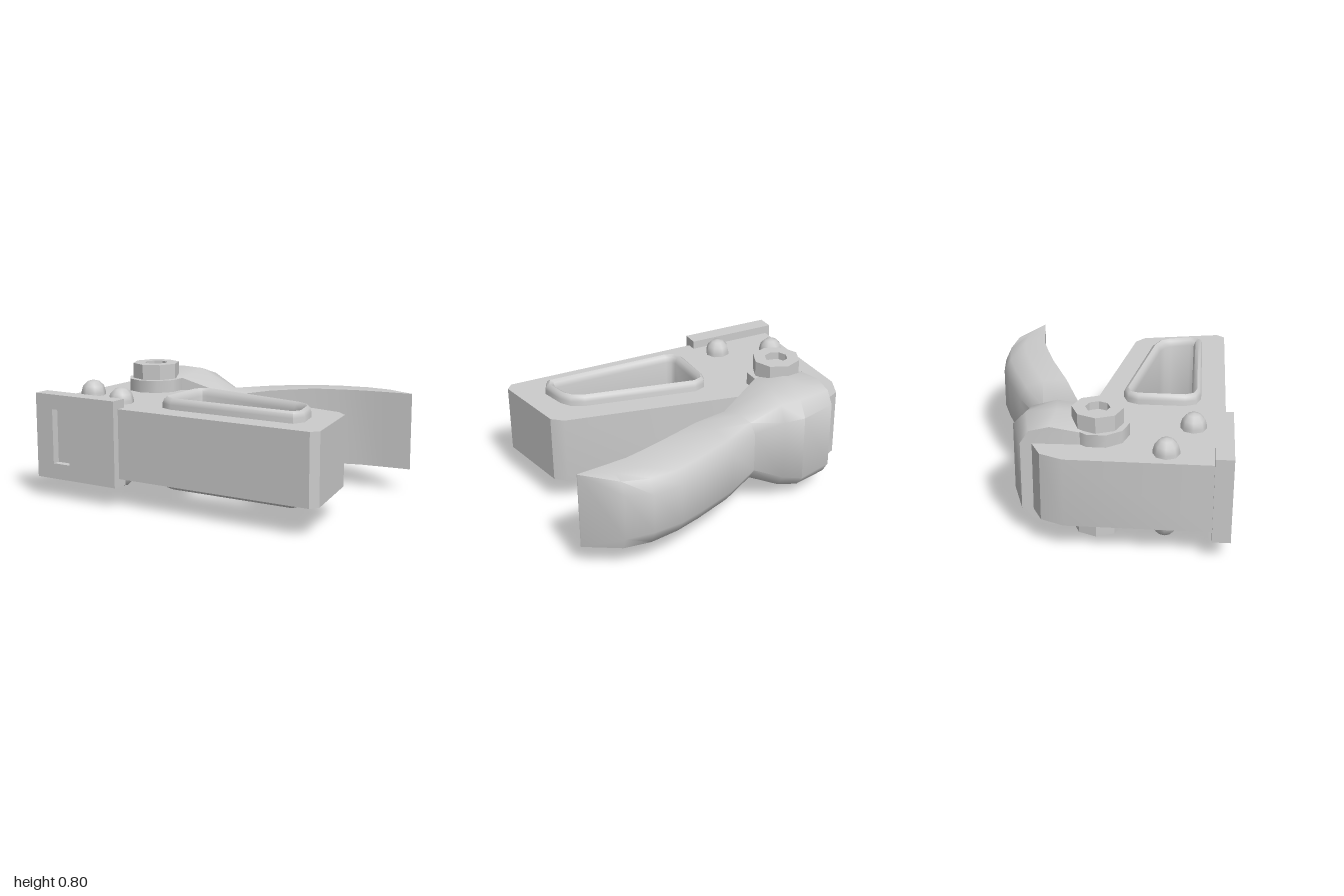
import * as THREE from 'three';
import { toCreasedNormals } from 'three/addons/utils/BufferGeometryUtils.js';

const MID = 0.4; // height of the symmetry plane
const material = new THREE.MeshStandardMaterial({ color: 0xcccccc });

function part(name, geometry, crease = 0.6) {
  const mesh = new THREE.Mesh(toCreasedNormals(geometry, crease), material);
  mesh.name = name;
  return mesh;
}

// Skin a row of rings, each an array of [x, y, z]
function loft(rings, closed) {
  const n = rings[0].length, m = rings.length, index = [];
  for (let i = 0; i < (closed ? m : m - 1); i++) {
    for (let j = 0; j < n; j++) {
      const k = (j + 1) % n, next = (i + 1) % m;
      const a = i * n + j, b = next * n + j, c = next * n + k, d = i * n + k;
      index.push(a, b, d, b, c, d);
    }
  }
  if (!closed) {
    const e = (m - 1) * n;
    for (let j = 1; j < n - 1; j++) index.push(0, j, j + 1, e, e + j + 1, e + j);
  }
  const g = new THREE.BufferGeometry();
  g.setAttribute('position', new THREE.Float32BufferAttribute(rings.flat(2), 3));
  g.setIndex(index);
  g.computeVertexNormals();
  return g;
}

const lerp = THREE.MathUtils.lerp;
const flat = (pts) => pts.map(([x, z]) => new THREE.Vector2(x, -z));

export function createModel() {
  const model = new THREE.Group();
  model.name = 'stapleGun';

  // Finger opening, outer and inner edge of its rim
  const outer = [[-0.21, 0.19], [-0.18, 0.12], [-0.1, 0.09], [0.62, 0.23], [0.7, 0.27],
    [0.745, 0.34], [0.785, 0.5], [0.75, 0.575], [-0.1, 0.58], [-0.18, 0.55], [-0.21, 0.48]];
  const inner = [[-0.147, 0.19], [-0.14, 0.16], [-0.11, 0.152], [0.6, 0.29], [0.66, 0.32],
    [0.69, 0.36], [0.725, 0.49], [0.71, 0.517], [-0.1, 0.52], [-0.13, 0.51], [-0.147, 0.48]];

  // Body: flat slab with the opening cut through
  const bodyShape = new THREE.Shape(flat([[-0.97, 0.73], [-0.36, 0.735], [0.94, 0.73], [0.98, 0.68],
    [0.88, 0.17], [0.81, 0.11], [-0.34, -0.11], [-0.45, -0.12], [-0.6, -0.38], [-0.79, -0.4],
    [-0.91, -0.34], [-0.97, -0.2]]));
  bodyShape.holes.push(new THREE.Path(flat(outer.map(([x, z], i) =>
    [lerp(x, inner[i][0], 0.5), lerp(z, inner[i][1], 0.5)]))));
  const body = new THREE.ExtrudeGeometry(bodyShape, { depth: 0.44, bevelEnabled: false });
  body.rotateX(-Math.PI / 2).translate(0, MID - 0.22, 0);
  model.add(part('body', body));

  // Rounded rim lining the opening on both faces
  const rimProfile = [[0, -0.25], [0.15, -0.275], [0.45, -0.288], [0.8, -0.275], [1, -0.24],
    [1, 0.24], [0.8, 0.275], [0.45, 0.288], [0.15, 0.275], [0, 0.25]];
  model.add(part('openingRim', loft(outer.map(([x, z], i) => rimProfile.map(([t, y]) =>
    [lerp(x, inner[i][0], t), MID + y, lerp(z, inner[i][1], t)])), true), 0.9));

  // Squeeze handle: inner x, z, outer x, z, then half heights from inner to outer side
  const stations = [
    [-0.78, -0.12, -0.79, -0.47, 0.30, 0.33, 0.30, 0.22],
    [-0.63, 0.00, -0.54, -0.55, 0.30, 0.35, 0.31, 0.22],
    [-0.45, -0.07, -0.42, -0.51, 0.30, 0.34, 0.29, 0.20],
    [-0.16, -0.19, -0.24, -0.45, 0.19, 0.22, 0.20, 0.13],
    [0.10, -0.30, 0.00, -0.60, 0.23, 0.24, 0.21, 0.13],
    [0.36, -0.42, 0.26, -0.71, 0.25, 0.25, 0.21, 0.13],
    [0.52, -0.475, 0.43, -0.77, 0.25, 0.25, 0.21, 0.13],
    [0.67, -0.52, 0.62, -0.79, 0.25, 0.25, 0.22, 0.13],
    [0.82, -0.54, 0.79, -0.75, 0.25, 0.25, 0.23, 0.15],
    [1.00, -0.562, 0.997, -0.568, 0.25, 0.25, 0.25, 0.245],
  ];
  const depths = [0, 0.5, 0.85, 1];
  model.add(part('handle', loft(stations.map(([ix, iz, ox, oz, ...h]) => {
    const side = (s) => depths.map((t, k) => [lerp(ix, ox, t), MID + s * h[k], lerp(iz, oz, t)]);
    return [...side(1), ...side(-1).reverse()];
  }), false), 0.9));

  // Pivot: boss and hollow-ended nut
  const boss = new THREE.CylinderGeometry(0.185, 0.185, 0.6, 10);
  model.add(part('pivotBoss', boss.translate(-0.63, MID, -0.02), 0.7));
  const nut = new THREE.LatheGeometry([[0, -0.35], [0.075, -0.35], [0.075, -0.4], [0.155, -0.4],
    [0.155, 0.4], [0.075, 0.4], [0.075, 0.35], [0, 0.35]].map((p) => new THREE.Vector2(...p)), 8);
  model.add(part('pivotNut', nut.translate(-0.635, MID, -0.025)));

  // Round-headed rivets running through the body
  for (const [x, z] of [[-0.845, 0.39], [-0.505, 0.54]]) {
    const rivet = new THREE.CapsuleGeometry(0.08, 0.48, 3, 8);
    model.add(part('rivet', rivet.translate(x, MID, z), 0.9));
  }

  // Nose plate with its slot
  const plateShape = new THREE.Shape([[-1, 0.13], [-0.385, 0.13], [-0.385, 0.675], [-1, 0.675]]
    .map((p) => new THREE.Vector2(...p)));
  plateShape.holes.push(new THREE.Path([[-0.87, 0.23], [-0.87, 0.58], [-0.74, 0.58], [-0.74, 0.23]]
    .map((p) => new THREE.Vector2(...p))));
  const plate = new THREE.ExtrudeGeometry(plateShape, { depth: 0.11, bevelEnabled: false });
  model.add(part('nosePlate', plate.translate(0, 0, 0.67)));

  return model;
}
